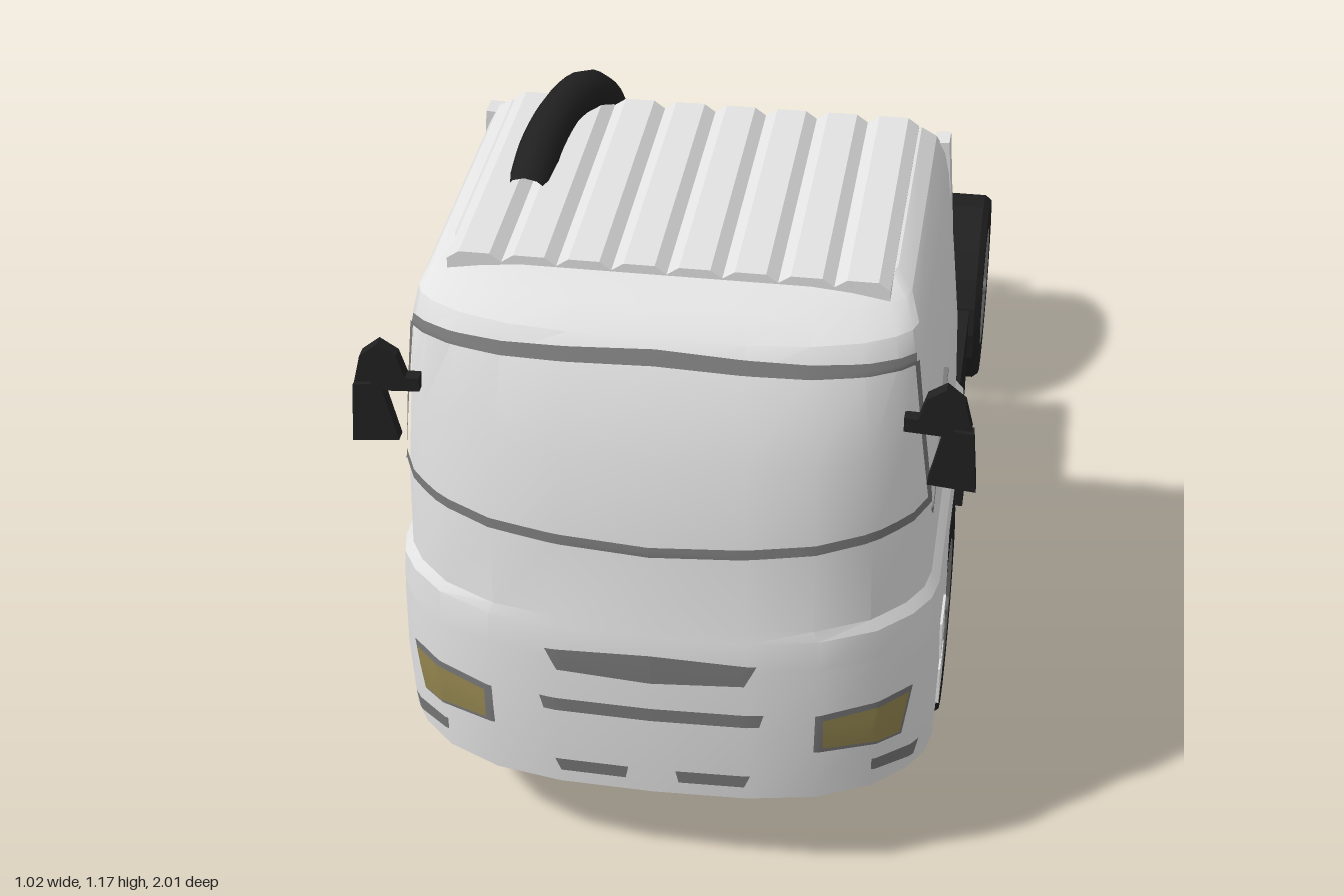
import * as THREE from 'three';
import { toCreasedNormals } from 'three/addons/utils/BufferGeometryUtils.js';

const mat = (name, color, side = THREE.FrontSide) => {
  const m = new THREE.MeshStandardMaterial({ color, side });
  m.name = name;
  return m;
};

export function createModel() {
  const root = new THREE.Group();
  root.name = 'truck';
  const white = mat('cab white', 0xe2e2e2);
  const trim = mat('trim grey', 0x777777, THREE.DoubleSide);
  const black = mat('black', 0x202020, THREE.DoubleSide);
  const steel = mat('chassis grey', 0x7a7a7a);
  const lamp = mat('headlamp yellow', 0x93854f, THREE.DoubleSide);
  const orange = mat('lens orange', 0xc8620f);
  const plateMat = mat('plate yellow', 0xb5a878);

  const add = (name, geo, m, x = 0, y = 0, z = 0) => {
    const mesh = new THREE.Mesh(geo, m);
    mesh.name = name;
    mesh.position.set(x, y, z);
    root.add(mesh);
    return mesh;
  };
  // box from its limits
  const box = (name, m, x0, x1, y0, y1, z0, z1) =>
    add(name, new THREE.BoxGeometry(x1 - x0, y1 - y0, z1 - z0), m, (x0 + x1) / 2, (y0 + y1) / 2, (z0 + z1) / 2);
  const sides = (fn) => [-1, 1].forEach(fn);
  const sideBox = (name, m, x0, x1, ...r) =>
    sides((s) => box(name, m, Math.min(s * x0, s * x1), Math.max(s * x0, s * x1), ...r));

  // ---- cab: levels are [y, half width, front z, corner depth]
  const levels = [
    [0.165, 0.435, 0.965, 0.95], [0.19, 0.455, 0.992, 1], [0.34, 0.46, 1.0, 1], [0.47, 0.458, 0.998, 1],
    [0.53, 0.455, 0.995, 1], [0.548, 0.441, 0.99, 1], [0.70, 0.438, 0.985, 1], [0.85, 0.425, 0.955, 0.8],
    [1.0, 0.41, 0.912, 0.55], [1.04, 0.402, 0.885, 0.5], [1.07, 0.386, 0.84, 0.5], [1.088, 0.36, 0.79, 0.45],
  ];
  // half plan of the nose: [fraction of half width, depth behind the front]
  const plan = [[0, 0], [0.35, 0.005], [0.6, 0.025], [0.8, 0.068], [0.92, 0.12], [0.98, 0.165], [1, 0.21]];
  const interp = (table, v) => {
    let i = 0;
    while (i < table.length - 2 && v > table[i + 1][0]) i++;
    const a = table[i], b = table[i + 1];
    const k = Math.min(1, Math.max(0, (v - a[0]) / (b[0] - a[0])));
    return a.map((n, j) => n + (b[j] - n) * k);
  };

  // stacked rings, closed at top and bottom
  const loft = (rows, backs) => {
    const pos = [], idx = [], n = plan.length * 2 + 1;
    rows.forEach(([y, w, f, c], r) => {
      pos.push(-w, y, backs[r]);
      for (let i = -(plan.length - 1); i < plan.length; i++) {
        const p = plan[Math.abs(i)];
        pos.push(Math.sign(i) * p[0] * w, y, f - p[1] * c);
      }
      pos.push(w, y, backs[r]);
    });
    for (let r = 0; r < rows.length - 1; r++)
      for (let i = 0; i < n; i++) {
        const a = r * n + i, b = r * n + ((i + 1) % n);
        idx.push(a, b, b + n, a, b + n, a + n);
      }
    const top = (rows.length - 1) * n;
    for (let i = 1; i < n - 1; i++) idx.push(top, top + i, top + i + 1, 0, i + 1, i);
    const g = new THREE.BufferGeometry();
    g.setAttribute('position', new THREE.Float32BufferAttribute(pos, 3));
    g.setIndex(idx);
    return toCreasedNormals(g, 0.4);
  };
  add('lowerNose', loft(levels.slice(0, 4), [0.675, 0.67, 0.635, 0.57]), white);
  add('cabBody', loft(levels.slice(3), [0.215, 0.22, 0.222, 0.238, 0.238, 0.238, 0.238, 0.24, 0.245]), white);

  // ribbed roof panel
  const roof = new THREE.Shape();
  roof.moveTo(-0.355, 1.06);
  for (let i = 0; i < 8; i++) {
    const x = -0.355 + i * 0.08875;
    roof.lineTo(x, 1.09);
    roof.lineTo(x + 0.02, 1.104);
    roof.lineTo(x + 0.07, 1.104);
  }
  roof.lineTo(0.355, 1.09);
  roof.lineTo(0.355, 1.06);
  add('roofRibs', new THREE.ExtrudeGeometry(roof, { depth: 0.53, bevelEnabled: false }), white, 0, 0, 0.245);

  // rear edges, rear window panel and side trim
  sides((s) => {
    add('rearEdge', new THREE.BoxGeometry(0.025, 0.56, 0.04), white, s * 0.413, 0.78, 0.225).rotation.z = s * 0.06;
    add('doorStripe', new THREE.BoxGeometry(0.01, 0.014, 0.29), trim, s * 0.434, 0.725, 0.65).rotation.x = 0.32;
    box('sideMarker', orange, s * 0.443 - 0.005, s * 0.443 + 0.005, 0.54, 0.55, 0.51, 0.54);
    box('doorHandle', trim, s * 0.437 - 0.005, s * 0.437 + 0.005, 0.66, 0.667, 0.52, 0.56);
    for (const y of [0.25, 0.35])
      box('stepPanel', white, s * 0.459 - 0.004, s * 0.459 + 0.004, y, y + 0.075, 0.69, 0.77);
  });
  box('rearWindowPanel', white, -0.19, 0.19, 0.74, 0.93, 0.232, 0.24);

  // thin plates that follow the nose; corners are [x, y], anticlockwise from lower inner
  const patch = (name, m, [a, b, c, d], s) => {
    const pos = [], idx = [], nu = 18, nv = 4;
    for (let v = 0; v <= nv; v++)
      for (let u = 0; u <= nu; u++) {
        const mix = (k) => THREE.MathUtils.lerp(
          THREE.MathUtils.lerp(a[k], b[k], u / nu), THREE.MathUtils.lerp(d[k], c[k], u / nu), v / nv);
        const x = mix(0), y = mix(1), [, w, f, corner] = interp(levels, y);
        const depth = interp(plan, x / w)[1];
        pos.push(s * (x + 0.005 * (x / w) ** 2), y, f - depth * corner + 0.006);
      }
    for (let v = 0; v < nv; v++)
      for (let u = 0; u < nu; u++) {
        const p = v * (nu + 1) + u, q = p + nu + 1;
        if (s > 0) idx.push(p, p + 1, q + 1, p, q + 1, q);
        else idx.push(p, q + 1, p + 1, p, q, q + 1);
      }
    const g = new THREE.BufferGeometry();
    g.setAttribute('position', new THREE.Float32BufferAttribute(pos, 3));
    g.setIndex(idx);
    g.computeVertexNormals();
    add(name, g, m);
  };
  sides((s) => {
    patch('windscreenLowerSeal', trim, [[0, 0.692], [0.432, 0.712], [0.431, 0.728], [0, 0.71]], s);
    patch('windscreenUpperSeal', trim, [[0, 1.008], [0.4, 0.995], [0.398, 1.012], [0, 1.03]], s);
    patch('windscreenSideSeal', trim, [[0.428, 0.72], [0.432, 0.72], [0.403, 1.0], [0.397, 1.0]], s);
    patch('upperGrille', trim, [[0, 0.44], [0.155, 0.447], [0.175, 0.488], [0, 0.497]], s);
    patch('lowerGrille', trim, [[0, 0.36], [0.18, 0.36], [0.187, 0.386], [0, 0.386]], s);
    patch('bumperVent', trim, [[0.045, 0.222], [0.155, 0.222], [0.165, 0.248], [0.04, 0.248]], s);
    patch('headlampSurround', trim, [[0.268, 0.302], [0.405, 0.29], [0.42, 0.39], [0.27, 0.382]], s);
  });
  sides((s) => {
    const g = [[0.28, 0.312], [0.4, 0.3], [0.412, 0.382], [0.28, 0.373]];
    patch('headlamp', lamp, g, s);
    root.children[root.children.length - 1].position.set(s * 0.003, 0, 0.003);
    patch('fogLamp', trim, [[0.36, 0.235], [0.425, 0.222], [0.432, 0.25], [0.36, 0.26]], s);
  });

  // mirrors
  const mirrorShapes = {
    upperMirror: [[0.41, 0.905], [0.497, 0.9], [0.485, 0.95], [0.455, 0.975], [0.425, 0.955]],
    lowerMirror: [[0.43, 0.79], [0.508, 0.782], [0.5, 0.893], [0.455, 0.9]],
    mirrorArm: [[0.39, 0.89], [0.47, 0.885], [0.47, 0.912], [0.39, 0.915]],
  };
  sides((s) => {
    for (const [name, pts] of Object.entries(mirrorShapes)) {
      const shape = new THREE.Shape(pts.map(([x, y]) => new THREE.Vector2(s * x, y)));
      add(name, new THREE.ExtrudeGeometry(shape, { depth: 0.022, bevelEnabled: false }), black, 0, 0, 0.845);
    }
  });

  // ---- underside of the cab
  box('engineBay', black, -0.325, 0.325, 0.2, 0.475, 0.235, 0.68);
  box('arches', black, -0.44, 0.44, 0.455, 0.472, 0.23, 0.6);
  box('mudFlaps', black, -0.43, 0.43, 0.3, 0.465, 0.225, 0.24);
  box('underTray', black, -0.22, 0.22, 0.14, 0.18, 0.55, 0.92);
  box('towStep', trim, -0.1, 0.1, 0.115, 0.14, 0.6, 0.8);

  // ---- chassis
  sideBox('frameRail', steel, 0.115, 0.18, 0.165, 0.25, -1, 0.5);
  box('rearCrossMember', steel, -0.12, 0.12, 0.18, 0.24, -0.88, -0.82);
  sideBox('sideBox', black, 0.19, 0.435, 0.11, 0.31, -0.375, -0.02);
  const lying = (name, m, r0, r1, len, x, y, z, axis, seg = 16) => {
    const c = add(name, new THREE.CylinderGeometry(r0, r1, len, seg), m, x, y, z);
    c.rotation[axis] = Math.PI / 2;
    return c;
  };
  sideBox('airTank', black, 0.18, 0.46, 0.16, 0.28, 0.02, 0.09);
  lying('boxBracket', black, 0.02, 0.02, 0.5, 0, 0.22, -0.19, 'z');
  lying('gearbox', black, 0.078, 0.078, 0.32, 0, 0.19, 0.1, 'x');
  lying('driveShaftJoint', black, 0.032, 0.032, 0.1, 0, 0.2, -0.11, 'x');
  lying('driveShaft', black, 0.018, 0.018, 0.55, 0, 0.2, -0.35, 'x');
  lying('rearAxle', black, 0.045, 0.045, 0.6, 0, 0.2, -0.645, 'z');
  lying('frontAxle', black, 0.04, 0.04, 0.7, 0, 0.2, 0.445, 'z');
  lying('rearCoupling', black, 0.048, 0.048, 0.215, 0, 0.215, -0.945, 'z', 10);

  // coupling plate with sloping ramp
  const couple = new THREE.Shape([[-0.105, -0.5], [-0.155, -0.41], [-0.155, -0.24], [-0.13, -0.21],
    [0.13, -0.21], [0.155, -0.24], [0.155, -0.41], [0.105, -0.5]].map(([x, z]) => new THREE.Vector2(x, z)));
  add('couplingPlate', new THREE.ExtrudeGeometry(couple, { depth: 0.055, bevelEnabled: false }), black, 0, 0.365, 0)
    .rotation.x = Math.PI / 2;
  add('couplingRamp', new THREE.BoxGeometry(0.21, 0.05, 0.36), black, 0, 0.3, -0.635).rotation.x = -0.2;
  box('couplingBase', black, -0.11, 0.11, 0.2, 0.32, -0.48, -0.22);

  // rear lamps and plate
  sides((s) => {
    const bar = (name, m, x0, x1, z0 = -0.914) =>
      box(name, m, Math.min(s * x0, s * x1), Math.max(s * x0, s * x1), 0.112, 0.168, z0, -0.905);
    bar('lampBoard', white, 0.18, 0.435, -0.91);
    bar('innerRearLens', orange, 0.22, 0.29);
    bar('outerRearLens', orange, 0.295, 0.365);
    box('lampBracket', steel, s * 0.165 - 0.02, s * 0.165 + 0.02, 0.13, 0.18, -0.908, -0.89);
  });
  box('numberPlate', plateMat, -0.1, 0.1, 0.125, 0.165, -0.888, -0.88);
  box('plateBracket', steel, -0.09, 0.09, 0.13, 0.19, -0.88, -0.865);

  // ---- wheels
  const v2 = (pts) => pts.map(([x, y]) => new THREE.Vector2(x, y));
  const tyreGeo = toCreasedNormals(new THREE.LatheGeometry(v2([[0, -0.05], [0.12, -0.057], [0.188, -0.057],
    [0.198, -0.045], [0.198, 0.045], [0.188, 0.057], [0.13, 0.057], [0.126, 0.03], [0, 0.03]]), 20), 0.25);
  const rimGeo = toCreasedNormals(new THREE.LatheGeometry(v2([[0.127, 0.035], [0.124, 0.057], [0.112, 0.055],
    [0.102, 0.046], [0.045, 0.046], [0.04, 0.054], [0.018, 0.054], [0.015, 0.06], [0, 0.06]]), 24), 0.4);
  const nutGeo = new THREE.CylinderGeometry(0.007, 0.007, 0.012, 6);
  const wheel = (s, x, z, withRim) => {
    const g = new THREE.Group();
    g.name = 'wheel';
    const put = (name, geo, m, px = 0, py = 0, pz = 0) => {
      const mesh = new THREE.Mesh(geo, m);
      mesh.name = name;
      mesh.position.set(px, py, pz);
      g.add(mesh);
    };
    put('tyre', tyreGeo, black);
    if (withRim) {
      put('rim', rimGeo, steel);
      for (let i = 0; i < 10; i++) {
        const a = (i / 10) * Math.PI * 2;
        put('rimHole', nutGeo, black, 0.098 * Math.cos(a), 0.042, 0.098 * Math.sin(a));
      }
    }
    g.rotation.z = -s * Math.PI / 2;
    g.position.set(s * x, 0.2, z);
    root.add(g);
  };
  sides((s) => {
    wheel(s, 0.398, 0.445, true);
    wheel(s, 0.398, -0.645, true);
    wheel(s, 0.275, -0.645, false);
  });

  // ---- air intake rising behind the cab and over the roof
  const tube = (name, pts, r, n) => add(name, new THREE.TubeGeometry(
    new THREE.CatmullRomCurve3(pts.map((p) => new THREE.Vector3(...p))), n, r, 10), black);
  tube('intakePipe', [[-0.19, 0.75, 0.182], [-0.19, 0.95, 0.185], [-0.2, 1.06, 0.2], [-0.22, 1.125, 0.26],
    [-0.245, 1.138, 0.34], [-0.265, 1.12, 0.45], [-0.27, 1.085, 0.55]], 0.036, 30);
  tube('intakeStack', [[-0.19, 0.31, 0.205], [-0.19, 0.4, 0.185], [-0.19, 0.6, 0.18], [-0.19, 0.79, 0.185]], 0.04, 12);
  return root;
}
